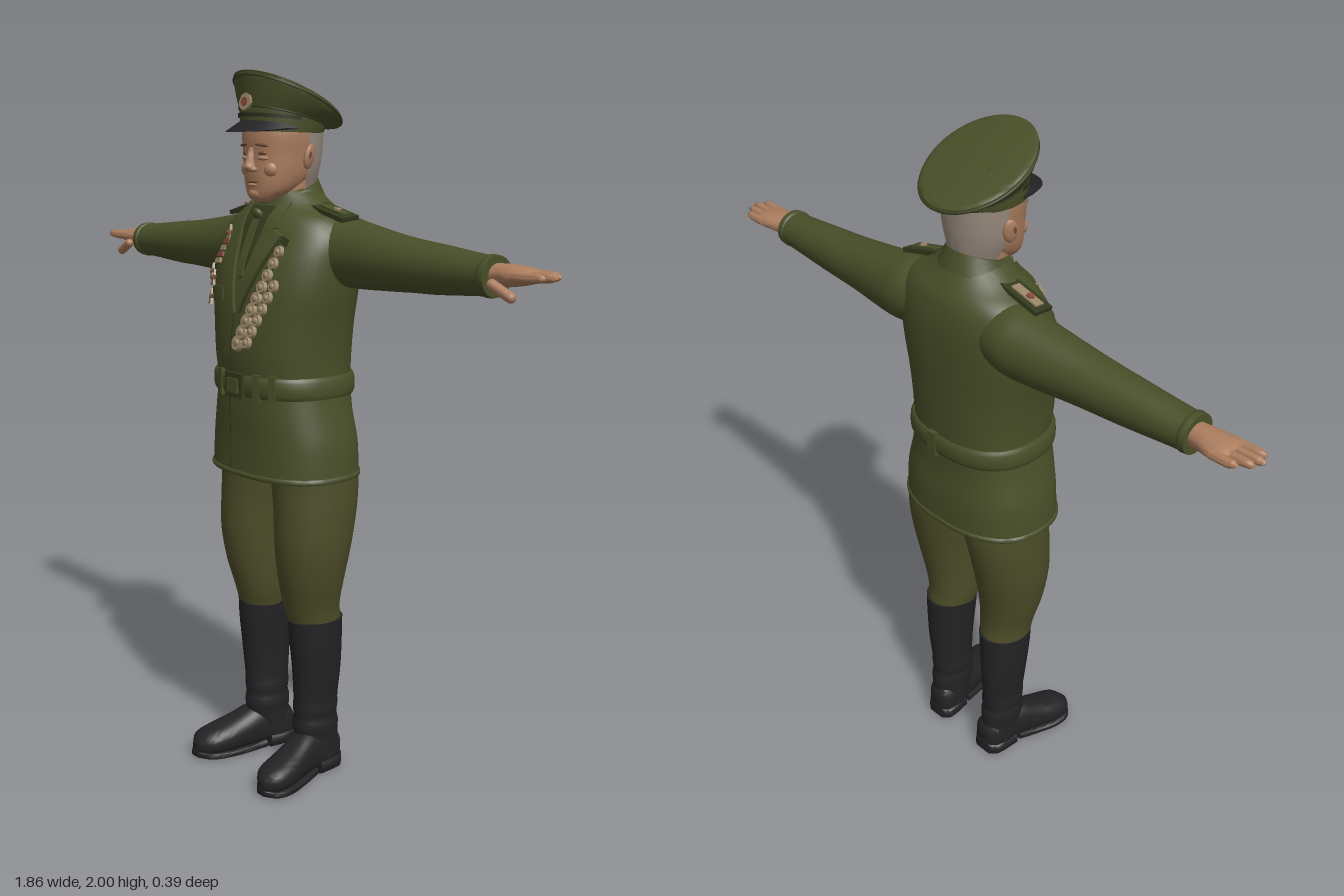
import * as THREE from 'three';
import { mergeVertices, toCreasedNormals } from 'three/addons/utils/BufferGeometryUtils.js';

const paint = (name, color, side = THREE.FrontSide) => new THREE.MeshStandardMaterial({ name, color, side });

// Smooth interpolation of section rows [t, a, b, ra, rb, power, slope]
function sample(rows, t) {
  let i = 0;
  while (i < rows.length - 2 && t > rows[i + 1][0]) i++;
  const at = (k, c) => rows[k][c] ?? (c === 5 ? 2 : 0);
  const h = rows[i + 1][0] - rows[i][0], u = (t - rows[i][0]) / h;
  const tangent = (k, c) => {
    const p = Math.max(k - 1, 0), n = Math.min(k + 1, rows.length - 1);
    return (at(n, c) - at(p, c)) / (rows[n][0] - rows[p][0]);
  };
  return [0, 1, 2, 3, 4, 5, 6].map(c => c === 0 ? t :
    at(i, c) * (2 * u ** 3 - 3 * u * u + 1) + at(i + 1, c) * (3 * u * u - 2 * u ** 3) +
    h * (tangent(i, c) * (u ** 3 - 2 * u * u + u) + tangent(i + 1, c) * (u ** 3 - u * u)));
}

// Grid surface from a rule, wound outward from its own centre
function grid(nu, nv, fn, crease = 0.9) {
  const pos = [], idx = [], mid = new THREE.Vector3();
  for (let j = 0; j <= nv; j++) for (let i = 0; i <= nu; i++) {
    const p = fn(i, j);
    pos.push(...p);
    mid.add(new THREE.Vector3(...p));
  }
  mid.divideScalar(pos.length / 3);
  for (let j = 0; j < nv; j++) for (let i = 0; i < nu; i++) {
    const a = j * (nu + 1) + i, b = a + 1, c = a + nu + 1, d = c + 1;
    idx.push(a, b, d, a, d, c);
  }
  const v = k => new THREE.Vector3().fromArray(pos, k * 3).sub(mid);
  let volume = 0;
  for (let k = 0; k < idx.length; k += 3) volume += v(idx[k]).dot(v(idx[k + 1]).cross(v(idx[k + 2])));
  if (volume < 0) idx.reverse();
  const g = new THREE.BufferGeometry();
  g.setAttribute('position', new THREE.Float32BufferAttribute(pos, 3));
  g.setIndex(idx);
  return toCreasedNormals(mergeVertices(g, 1e-5), crease);
}

// Loft of superellipse sections along an axis; side -1 mirrors it in x
function loft(axis, rows, { side = 1, seg = 32, sub = 4, arc = null, crease = 0.9 } = {}) {
  const n = (rows.length - 1) * sub;
  return grid(seg, arc ? n : n + 2, (i, j) => {
    const k = arc ? j : Math.min(Math.max(j - 1, 0), n);
    const r = Math.min(Math.floor(k / sub), rows.length - 2);
    const t = rows[r][0] + (rows[r + 1][0] - rows[r][0]) * (k - r * sub) / sub;
    const [, a, b, ra, rb, e, slope] = sample(rows, t);
    const shut = !arc && (j === 0 || j === n + 2) ? 0 : 1;
    const th = arc ? arc[0] + arc[1] * i / seg : (i % seg) / seg * Math.PI * 2;
    const pow = q => Math.sign(q) * Math.abs(q) ** (2 / e) * shut;
    const p = a + ra * pow(Math.cos(th)), q = b + rb * pow(Math.sin(th));
    if (axis === 'y') return [side * p, t + slope * (q - b), q];
    return axis === 'x' ? [side * t, p, q] : [side * p, q, t];
  }, crease);
}

const torso = [
  [0.90, 0, -0.02, 0.233, 0.167, 2.4], [1.0, 0, -0.02, 0.226, 0.165, 2.4], [1.08, 0, -0.015, 0.208, 0.162, 2.4],
  [1.16, 0, -0.015, 0.194, 0.163, 2.4], [1.24, 0, -0.012, 0.196, 0.168, 2.4], [1.33, 0, -0.014, 0.206, 0.168, 2.4],
  [1.42, 0, -0.02, 0.222, 0.165, 2.4], [1.5, 0, -0.03, 0.228, 0.155, 2.4], [1.56, 0, -0.04, 0.225, 0.14, 2.3],
  [1.61, 0, -0.045, 0.195, 0.122, 2.2], [1.645, 0, -0.045, 0.135, 0.1], [1.69, 0, -0.038, 0.075, 0.075]];
const skull = [
  [1.655, 0, 0.055, 0.022, 0.028, 2.2], [1.665, 0, 0.047, 0.045, 0.045, 2.2], [1.69, 0, 0.028, 0.07, 0.068, 2.2],
  [1.73, 0, 0.005, 0.086, 0.094, 2.2], [1.78, 0, -0.006, 0.094, 0.105, 2.2], [1.83, 0, -0.008, 0.1, 0.109, 2.2],
  [1.87, 0, -0.01, 0.098, 0.105, 2.2]];
const frontOf = (rows, x, y) => {
  const [, , cz, rx, rz, e] = sample(rows, y);
  return cz + rz * (1 - Math.min(Math.abs(x / rx), 0.98) ** e) ** (1 / e);
};

// Thin four-cornered plate following the chest
const patch = (a, b, c, d, off) => grid(10, 14, (i, j) => {
  const u = Math.min(Math.max((i - 1) / 8, 0), 1), v = Math.min(Math.max((j - 1) / 12, 0), 1);
  const mix = k => (a[k] * (1 - u) + b[k] * u) * (1 - v) + (c[k] * (1 - u) + d[k] * u) * v;
  const rim = i === 0 || i === 10 || j === 0 || j === 14;
  return [mix(0), mix(1), frontOf(torso, mix(0), mix(1)) + (rim ? -0.004 : off)];
}, 0.7);

export function createModel() {
  const model = new THREE.Group();
  const green = paint('uniformGreen', 0x484e28), trouser = paint('trouserGreen', 0x4c4c28);
  const dark = paint('darkGreen', 0x343a1e), skin = paint('skin', 0xab7d5e);
  const grey = paint('greyHair', 0x988a7e, THREE.DoubleSide), black = paint('blackLeather', 0x232325);
  const metal = paint('medalMetal', 0x9a8768), red = paint('ribbonRed', 0x84483a), brown = paint('faceShade', 0x6e4b3a);

  const add = (name, geo, mat, pos = [0, 0, 0], rot = [0, 0, 0], scale = [1, 1, 1]) => {
    const m = new THREE.Mesh(geo, mat);
    m.name = name;
    m.position.set(...pos);
    m.rotation.set(...rot);
    m.scale.set(...scale);
    model.add(m);
    return m;
  };
  const ball = new THREE.SphereGeometry(1, 20, 14);

  // Jacket, hem and belt
  add('jacket', loft('y', torso, { seg: 56 }), green);
  const band = (y0, y1, grow) => [0, 0.2, 0.8, 1].map((f, i) => {
    const s = sample(torso, y0 + (y1 - y0) * f), g = i % 3 ? grow : grow * 0.4;
    return [s[0], 0, s[2], s[3] + g, s[4] + g, s[5]];
  });
  add('jacketHem', loft('y', band(0.9, 0.915, 0.004), { seg: 56, sub: 1 }), green);
  add('belt', loft('y', band(1.13, 1.19, 0.01), { seg: 56, sub: 2 }), green);
  add('buckle', new THREE.BoxGeometry(0.075, 0.068, 0.014), dark, [0, 1.16, 0.158]);
  add('bucklePlate', new THREE.BoxGeometry(0.045, 0.04, 0.012), green, [0, 1.16, 0.165]);
  for (const x of [-0.07, 0.08, 0.125]) {
    const z = frontOf(torso, x, 1.16);
    add('beltLoop', new THREE.BoxGeometry(0.02, 0.074, 0.022), green, [x, 1.16, z + 0.004], [0, x * 3, 0]);
  }
  add('backLoop', new THREE.BoxGeometry(0.03, 0.074, 0.02), green, [0.02, 1.16, -0.182]);
  add('frontSeamLower', patch([-0.042, 0.902], [-0.038, 0.902], [-0.042, 1.13], [-0.038, 1.13], 0.001), dark);
  add('frontSeamUpper', patch([-0.032, 1.19], [-0.028, 1.19], [-0.012, 1.36], [-0.008, 1.36], 0.001), dark);

  // Shirt, tie, collar and lapels
  add('shirt', patch([-0.004, 1.45], [0.004, 1.45], [-0.065, 1.645], [0.065, 1.645], 0.003), dark);
  add('tie', patch([-0.012, 1.46], [0.012, 1.46], [-0.012, 1.61], [0.012, 1.61], 0.009), green);
  add('tieKnot', ball, green, [0, 1.62, 0.076], [0.5, 0, 0], [0.018, 0.02, 0.012]);
  add('collar', loft('y', [[1.645, 0, -0.038, 0.105, 0.095, 2, -0.25], [1.67, 0, -0.034, 0.092, 0.088, 2, -0.3],
    [1.69, 0, -0.03, 0.083, 0.083, 2, -0.35]]), green);
  for (const s of [-1, 1]) {
    add('lapel', patch([s * 0.004, 1.36], [s * 0.012, 1.36], [s * 0.05, 1.6], [s * 0.115, 1.57], 0.009), green);
    add('collarFlap', patch([s * 0.045, 1.575], [s * 0.095, 1.59], [s * 0.055, 1.65], [s * 0.085, 1.655], 0.011), green);
    add('lapelShadow', patch([s * 0.012, 1.36], [s * 0.016, 1.36], [s * 0.115, 1.57], [s * 0.12, 1.568], 0.003), dark);
    add('chestPocketFlap', patch([s * 0.07, 1.385], [s * 0.16, 1.385], [s * 0.07, 1.425], [s * 0.16, 1.425], 0.004), green);
  }

  // Arms, epaulettes and hands
  for (const side of [-1, 1]) {
    add('sleeve', loft('x', [[0.1, 1.53, -0.07, 0.08, 0.085], [0.19, 1.527, -0.076, 0.094, 0.094],
      [0.25, 1.52, -0.076, 0.09, 0.087], [0.4, 1.511, -0.068, 0.075, 0.072], [0.48, 1.508, -0.066, 0.068, 0.067],
      [0.55, 1.506, -0.064, 0.064, 0.062], [0.7, 1.504, -0.06, 0.051, 0.054], [0.745, 1.504, -0.058, 0.049, 0.053]], { side }), green);
    add('cuff', loft('x', [[0.725, 1.504, -0.058, 0.05, 0.053], [0.728, 1.504, -0.058, 0.053, 0.056],
      [0.747, 1.504, -0.058, 0.051, 0.054]], { side, sub: 2 }), green);
    add('epaulette', new THREE.BoxGeometry(0.14, 0.012, 0.06), dark, [side * 0.175, 1.632, -0.04], [0.1, 0, -side * 0.24]);
    add('epauletteBraid', new THREE.BoxGeometry(0.09, 0.006, 0.028), side < 0 ? metal : green, [side * 0.185, 1.637, -0.04], [0.1, 0, -side * 0.24]);
    add('epauletteStar', new THREE.CylinderGeometry(0.011, 0.011, 0.006, 5), side < 0 ? red : metal, [side * 0.195, 1.639, -0.04], [0, 0, -side * 0.24]);
    add('palm', loft('x', [[0.72, 1.506, -0.06, 0.03, 0.034], [0.76, 1.508, -0.062, 0.029, 0.036],
      [0.8, 1.51, -0.065, 0.026, 0.046], [0.84, 1.511, -0.067, 0.02, 0.049], [0.86, 1.511, -0.067, 0.012, 0.045]], { side, seg: 24 }), skin);
    [[-0.106, 0.895], [-0.08, 0.922], [-0.054, 0.932], [-0.029, 0.918]].forEach(([z, tip]) =>
      add('finger', loft('x', [[0.82, 1.512, z, 0.013, 0.0125], [0.87, 1.512, z, 0.0125, 0.012],
        [tip - 0.012, 1.514, z, 0.01, 0.01], [tip, 1.514, z, 0.003, 0.003]], { side, seg: 12 }), skin));
    add('thumb', new THREE.CapsuleGeometry(0.0135, 0.06, 6, 12), skin, [side * 0.802, 1.478, -0.012], [0.25, 0, side * 1.1]);
  }

  // Legs and boots
  for (const side of [-1, 1]) {
    add('trouserLeg', loft('y', [[0.47, 0.115, -0.035, 0.071, 0.08], [0.52, 0.113, -0.025, 0.078, 0.084],
      [0.6, 0.12, -0.018, 0.09, 0.098], [0.7, 0.125, -0.02, 0.101, 0.115], [0.8, 0.122, -0.03, 0.108, 0.125],
      [0.88, 0.115, -0.035, 0.113, 0.13], [0.96, 0.112, -0.03, 0.112, 0.13]], { side }), trouser);
    add('bootShaft', loft('y', [[0.04, 0.112, -0.058, 0.052, 0.06], [0.12, 0.113, -0.045, 0.054, 0.07],
      [0.15, 0.113, -0.043, 0.057, 0.073], [0.175, 0.113, -0.042, 0.053, 0.069], [0.2, 0.113, -0.042, 0.056, 0.071],
      [0.23, 0.114, -0.042, 0.054, 0.071], [0.32, 0.117, -0.042, 0.061, 0.077], [0.42, 0.117, -0.038, 0.069, 0.082],
      [0.478, 0.116, -0.037, 0.073, 0.083]], { side }), black);
    add('bootFoot', loft('z', [[-0.12, 0.108, 0.06, 0.03, 0.04, 2.4], [-0.1, 0.109, 0.065, 0.047, 0.058, 2.4],
      [0, 0.121, 0.072, 0.05, 0.064, 2.4], [0.06, 0.135, 0.06, 0.053, 0.052, 2.4], [0.12, 0.148, 0.049, 0.056, 0.042, 2.4],
      [0.17, 0.155, 0.042, 0.046, 0.034, 2.4], [0.195, 0.157, 0.036, 0.018, 0.018, 2.4]], { side }), black);
    add('bootSole', loft('z', [[-0.01, 0.118, 0.016, 0.048, 0.012, 6], [0.06, 0.135, 0.01, 0.054, 0.01, 6],
      [0.12, 0.149, 0.01, 0.058, 0.01, 6], [0.17, 0.156, 0.012, 0.048, 0.01, 6], [0.198, 0.158, 0.015, 0.018, 0.009, 6]], { side }), black);
    add('bootHeel', loft('z', [[-0.122, 0.108, 0.02, 0.032, 0.02, 6], [-0.1, 0.109, 0.02, 0.05, 0.02, 6],
      [-0.025, 0.116, 0.02, 0.05, 0.02, 6]], { side }), black);
  }

  // Head and face
  add('neck', loft('y', [[1.6, 0, -0.03, 0.075, 0.08], [1.68, 0, -0.025, 0.073, 0.08], [1.74, 0, -0.02, 0.074, 0.085]]), skin);
  add('head', loft('y', skull, { seg: 40 }), skin);
  add('hair', loft('y', [[1.695, 0, -0.024, 0.073, 0.083], [1.74, 0, -0.014, 0.09, 0.1, 2.1], [1.78, 0, -0.01, 0.0975, 0.108, 2.2],
    [1.85, 0, -0.012, 0.103, 0.11, 2.2]], { arc: [Math.PI * 1.02, Math.PI * 0.96] }), grey);
  add('noseBridge', loft('y', [[1.735, 0, 0.098, 0.014, 0.012], [1.745, 0, 0.1, 0.017, 0.022], [1.765, 0, 0.098, 0.012, 0.018],
    [1.8, 0, 0.095, 0.009, 0.009]], { seg: 16 }), skin);
  add('mouth', ball, brown, [0, 1.709, 0.094], [0, 0, 0], [0.026, 0.0035, 0.008]);
  add('lowerLip', ball, skin, [0, 1.7, 0.093], [0, 0, 0], [0.02, 0.006, 0.009]);
  add('chin', ball, skin, [0, 1.677, 0.078], [0, 0, 0], [0.028, 0.018, 0.022]);
  for (const s of [-1, 1]) {
    const z = frontOf(skull, 0.037, 1.785);
    add('eye', ball, brown, [s * 0.036, 1.784, z - 0.003], [0, s * 0.25, 0], [0.014, 0.0055, 0.006]);
    add('brow', ball, brown, [s * 0.038, 1.806, z + 0.001], [0, s * 0.3, -s * 0.12], [0.022, 0.0045, 0.007]);
    add('eyePouch', ball, skin, [s * 0.037, 1.771, z - 0.004], [0, s * 0.3, 0], [0.018, 0.006, 0.009]);
    add('nostril', ball, skin, [s * 0.014, 1.742, 0.1], [0, 0, 0], [0.009, 0.008, 0.012]);
    add('cheek', ball, skin, [s * 0.045, 1.742, 0.07], [0, 0, 0], [0.026, 0.024, 0.02]);
    add('ear', ball, skin, [s * 0.102, 1.775, -0.018], [-0.15, s * 0.35, -s * 0.12], [0.01, 0.034, 0.021]);
    add('earHollow', ball, brown, [s * 0.109, 1.778, -0.014], [-0.15, s * 0.35, -s * 0.12], [0.005, 0.016, 0.009]);
  }

  // Peaked cap
  add('capBand', loft('y', [[1.838, 0, -0.006, 0.107, 0.116, 2, 0.03], [1.855, 0, -0.008, 0.109, 0.118, 2, 0.14],
    [1.88, 0, -0.01, 0.111, 0.12, 2, 0.25]], { seg: 48 }), green);
  add('capCrown', loft('y', [[1.876, 0, -0.01, 0.112, 0.121, 2, 0.26], [1.895, 0, -0.018, 0.13, 0.133, 2, 0.36],
    [1.915, 0, -0.028, 0.144, 0.147, 2, 0.46], [1.924, 0, -0.028, 0.144, 0.147, 2, 0.48], [1.932, 0, -0.028, 0.135, 0.138, 2, 0.48],
    [1.938, 0, -0.028, 0.06, 0.06, 2, 0.48]], { seg: 48 }), green);
  for (const [y, z, rx, rz, slope] of [[1.919, -0.028, 0.145, 0.148, 0.47], [1.877, -0.01, 0.112, 0.121, 0.255]]) {
    const ring = Array.from({ length: 40 }, (_, i) => {
      const a = i / 40 * Math.PI * 2, q = rz * Math.sin(a);
      return new THREE.Vector3(rx * Math.cos(a), y + slope * q, z + q);
    });
    add('capPiping', new THREE.TubeGeometry(new THREE.CatmullRomCurve3(ring, true), 80, 0.003, 6, true), dark);
  }
  add('capButton', ball, dark, [-0.055, 1.925, -0.04], [0.45, 0, 0], [0.008, 0.006, 0.008]);
  add('visor', grid(28, 10, (i, j) => {
    const a = (i / 28 - 0.5) * 2.7, under = j > 5, r = j === 10 ? 0 : (under ? 10 - j : j) / 5;
    const reach = 0.055 * Math.max(Math.cos(a / 1.35 * 1.5), 0.05) * r;
    return [(0.107 + reach * 0.3) * Math.sin(a), 1.85 + 0.022 * Math.cos(a) - 0.6 * reach - (under || j === 10 ? 0.006 : 0),
      -0.006 + 0.114 * Math.cos(a) + reach];
  }), black);
  add('capStrap', loft('y', [[1.868, 0, -0.007, 0.112, 0.122, 2, 0.1], [1.878, 0, -0.007, 0.112, 0.122, 2, 0.1]],
    { arc: [0.2, Math.PI - 0.4], sub: 1 }), paint('strap', 0x2b2e1c, THREE.DoubleSide));
  add('capBadge', new THREE.CylinderGeometry(0.024, 0.024, 0.008, 8), metal, [0, 1.918, 0.117], [1.35, 0, 0]);
  add('badgeCentre', new THREE.CylinderGeometry(0.012, 0.012, 0.008, 16), red, [0, 1.918, 0.12], [1.35, 0, 0]);

  // Medals hung in a slanting cascade, with ribbons behind
  const medal = (x, y, r, sides, mat) => {
    const z = frontOf(torso, x, y) + 0.009;
    add('medal', new THREE.CylinderGeometry(r * 0.85, r, 0.01, sides), mat, [x, y, z], [Math.PI / 2 - 0.25, 0, 0]);
    add('medalBoss', ball, metal, [x, y, z + 0.004], [0, 0, 0], [r * 0.5, r * 0.5, 0.006]);
  };
  for (let i = 0; i < 9; i++) {
    const f = i / 8, x = 0.125 - 0.105 * f ** 1.3, y = 1.53 - 0.25 * f;
    medal(x, y, 0.017 + 0.007 * f, 14, metal);
    if (i > 2) medal(x + 0.035, y + 0.004, 0.018, 14, metal);
    add('medalRibbon', new THREE.BoxGeometry(0.022, 0.02, 0.006), i % 2 ? red : dark, [x + 0.008, y + 0.026, frontOf(torso, x, y + 0.026) + 0.006], [-0.25, 0, -0.3]);
  }
  const star = new THREE.Shape(Array.from({ length: 10 }, (_, i) => {
    const a = i * Math.PI / 5, r = i % 2 ? 0.011 : 0.025;
    return new THREE.Vector2(r * Math.sin(a), r * Math.cos(a));
  }));
  const starGeo = new THREE.ExtrudeGeometry(star, { depth: 0.007, bevelEnabled: false });
  for (const [x, y] of [[-0.155, 1.385], [-0.135, 1.44], [-0.165, 1.455], [-0.1, 1.565]]) {
    const z = frontOf(torso, x, y) + 0.005;
    add('starOrder', starGeo, metal, [x, y, z], [-0.2, x * 3, 0]);
    add('starCentre', ball, red, [x, y, z + 0.007], [0, 0, 0], [0.007, 0.007, 0.004]);
  }
  for (let i = 0; i < 4; i++) {
    const x = -0.13 + 0.008 * i, y = 1.49 + 0.018 * i;
    add('ribbonBar', new THREE.BoxGeometry(0.036, 0.014, 0.007), i % 2 ? red : metal, [x, y, frontOf(torso, x, y) + 0.005], [-0.4, -0.3, 0]);
  }
  return model;
}
